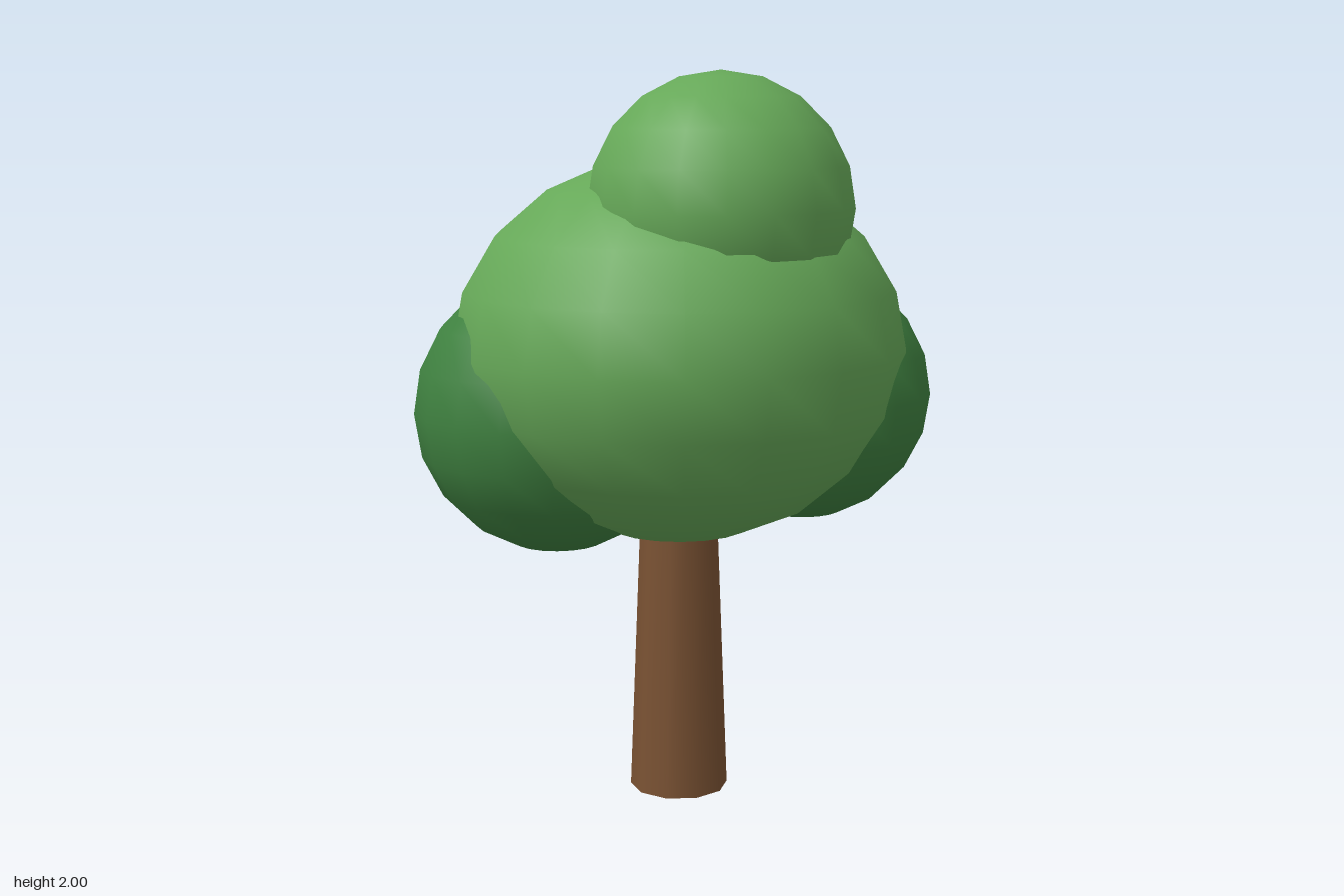
import * as THREE from 'three';

export function createModel() {
  const tree = new THREE.Group();
  tree.name = 'tree';

  const material = (name, color) => {
    const m = new THREE.MeshStandardMaterial({ color });
    m.name = name;
    return m;
  };
  const bark = material('bark brown', 0x7a5233);
  const leaf = material('leaf green', 0x66a858);
  const shade = material('dark leaf green', 0x3f8140);

  // Tapered trunk, its top hidden inside the crown
  const trunkHeight = 0.92;
  const trunk = new THREE.Mesh(new THREE.CylinderGeometry(0.102, 0.137, trunkHeight, 10), bark);
  trunk.name = 'trunk';
  trunk.position.y = trunkHeight / 2;
  tree.add(trunk);

  // Foliage clumps: smooth low-poly spheres with a corner facing front and back
  const clump = (name, mat, [x, y, z], radius, squash = 1) => {
    const geometry = new THREE.SphereGeometry(radius, 18, 10);
    geometry.rotateY(Math.PI / 2);
    geometry.scale(1, squash, 1);
    const mesh = new THREE.Mesh(geometry, mat);
    mesh.name = name;
    mesh.position.set(x, y, z);
    tree.add(mesh);
  };
  clump('mainCrown', leaf, [0, 1.253, 0], 0.62, 0.85);
  clump('topClump', leaf, [0.047, 1.645, 0.178], 0.355);
  clump('rightClump', shade, [-0.32, 1.085, -0.1], 0.39);
  clump('leftClump', shade, [0.35, 1.12, 0.05], 0.355);

  return tree;
}
